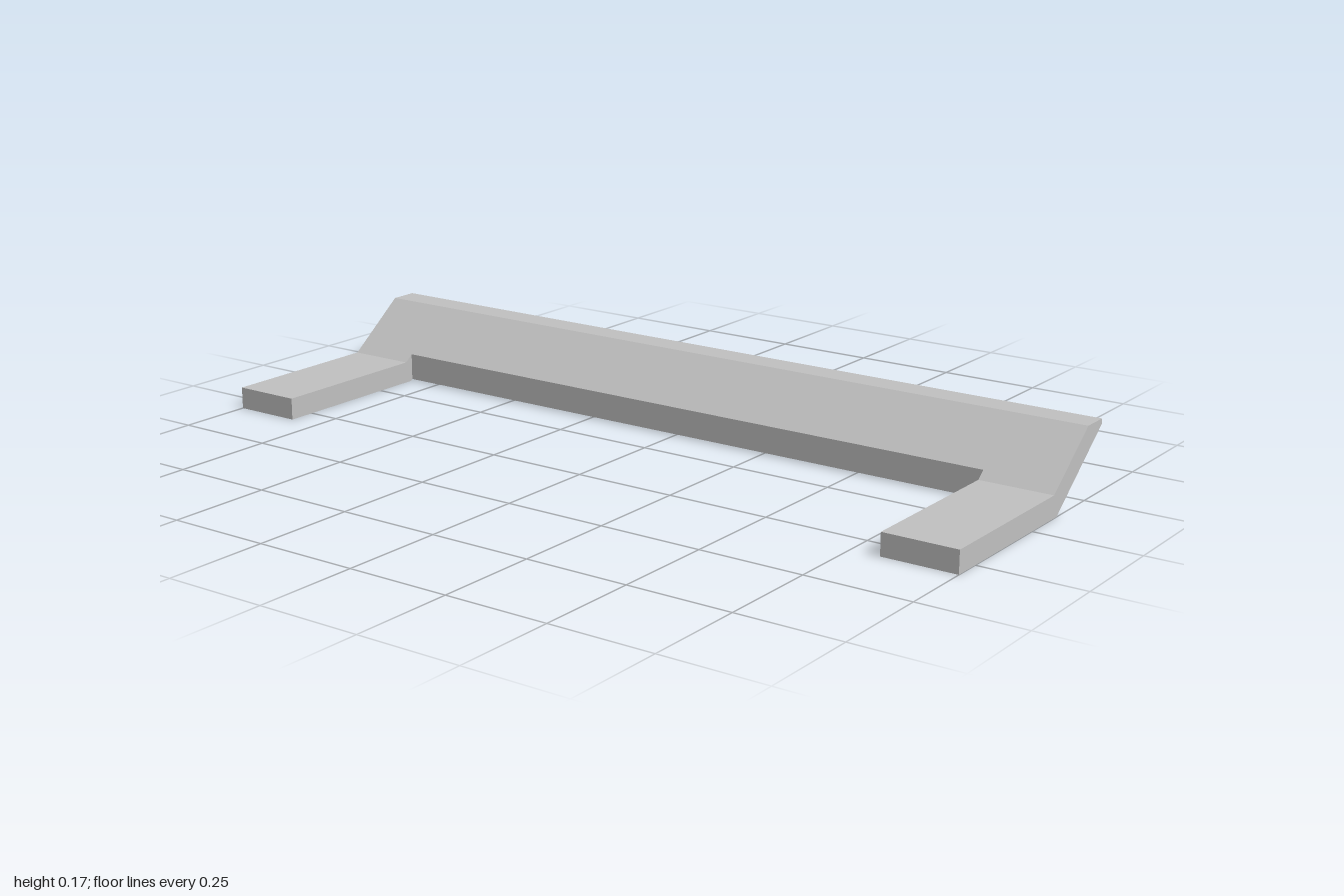
import * as THREE from 'three';

// Extrude a side profile of [z, y] points across the width from x0 to x1.
function extrudeProfile(points, x0, x1) {
  const shape = new THREE.Shape(points.map(([z, y]) => new THREE.Vector2(z, y)));
  const geometry = new THREE.ExtrudeGeometry(shape, { depth: x1 - x0, bevelEnabled: false });
  geometry.rotateY(-Math.PI / 2);
  geometry.translate(x1, 0, 0);
  return geometry;
}

export function createModel() {
  const group = new THREE.Group();
  group.name = 'angledBracket';
  const grey = new THREE.MeshStandardMaterial({ color: 0xc0c0c0 });
  grey.name = 'grey';

  const add = (name, points, x0, x1) => {
    const mesh = new THREE.Mesh(extrudeProfile(points, x0, x1), grey);
    mesh.name = name;
    group.add(mesh);
  };

  // Full-width sloping blade with a vertical front edge and a flat top
  add('slopedBlade', [
    [-0.12, 0.004], [-0.12, 0.07], [-0.25, 0.17], [-0.318, 0.17], [-0.318, 0.157],
  ], -1, 1);

  // Flat feet reaching forward at both ends, mitred into the blade
  const foot = [
    [0.318, 0], [0.318, 0.053], [-0.098, 0.053], [-0.12, 0.07], [-0.12, 0.004], [-0.115, 0],
  ];
  add('rightFoot', foot, -1, -0.83);
  add('leftFoot', foot, 0.82, 1);

  return group;
}
